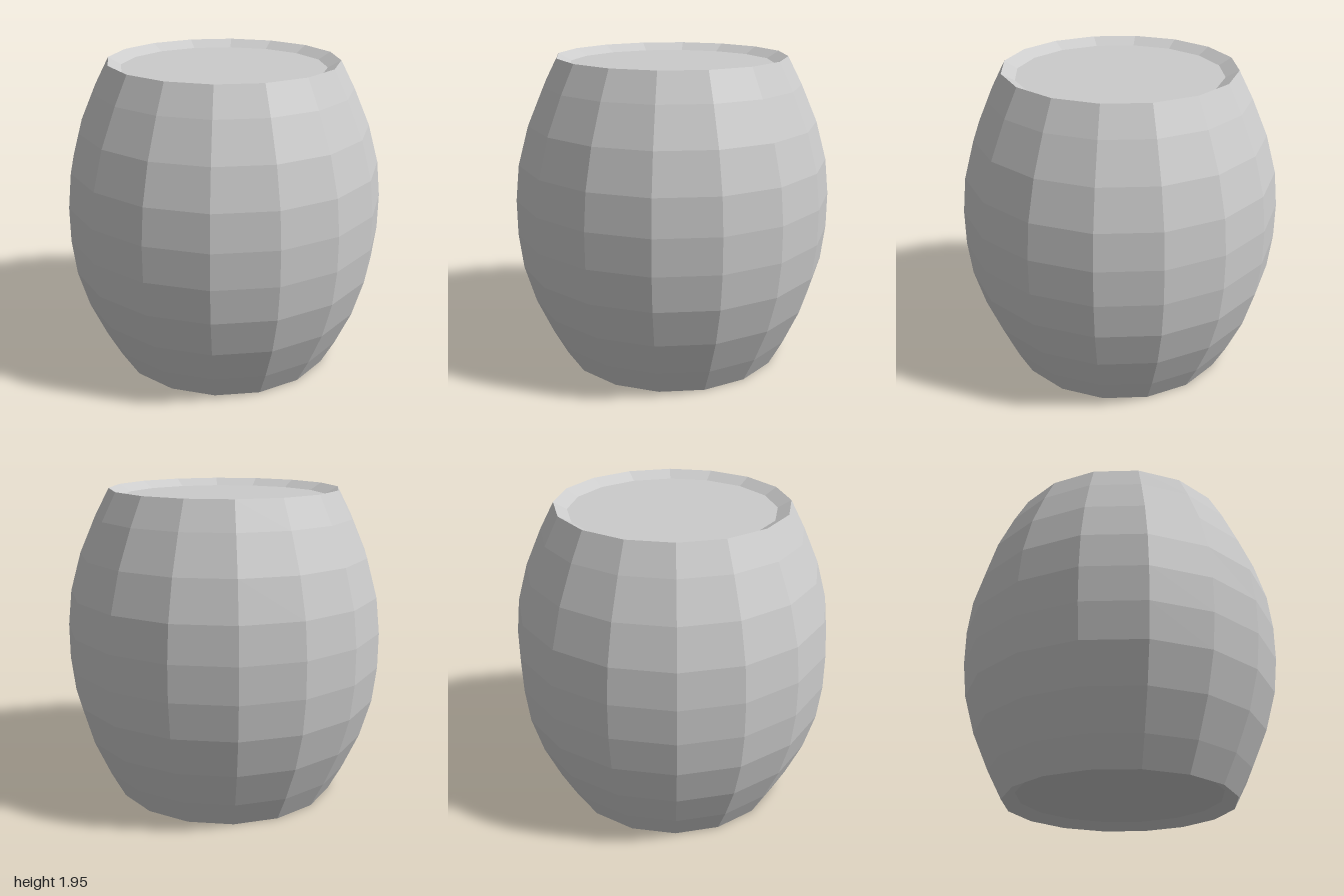
import * as THREE from 'three';

const SIDES = 16;
const HEIGHT = 1.945;
const RIM = 0.717;
const HEAD = 0.637;
const INSET = 0.045;

export function createModel() {
  const barrel = new THREE.Group();
  barrel.name = 'barrel';
  const material = new THREE.MeshStandardMaterial({ color: 0xcccccc, flatShading: true });

  // Revolves [radius, height] pairs, listed so the faces point outward
  const addRing = (name, profile) => {
    const points = profile.map(([r, y]) => new THREE.Vector2(r, y));
    const mesh = new THREE.Mesh(new THREE.LatheGeometry(points, SIDES), material);
    mesh.name = name;
    barrel.add(mesh);
  };

  // Bulging staves: lower half of the profile, mirrored for the upper half
  const lower = [[RIM, 0], [0.806, 0.17], [0.907, 0.4], [0.975, 0.64], [1, 0.862]];
  const upper = lower.map(([r, y]) => [r, HEIGHT - y]).reverse();
  addRing('staves', [...lower, ...upper]);

  // Sloping inner edges of the rims
  addRing('bottomRim', [[HEAD, INSET], [RIM, 0]]);
  addRing('topRim', [[RIM, HEIGHT], [HEAD, HEIGHT - INSET]]);

  // Recessed flat heads
  for (const [name, y, tilt] of [
    ['topHead', HEIGHT - INSET, -Math.PI / 2],
    ['bottomHead', INSET, Math.PI / 2],
  ]) {
    const head = new THREE.Mesh(new THREE.CircleGeometry(HEAD, SIDES), material);
    head.name = name;
    head.rotation.x = tilt;
    head.position.y = y;
    barrel.add(head);
  }

  return barrel;
}
